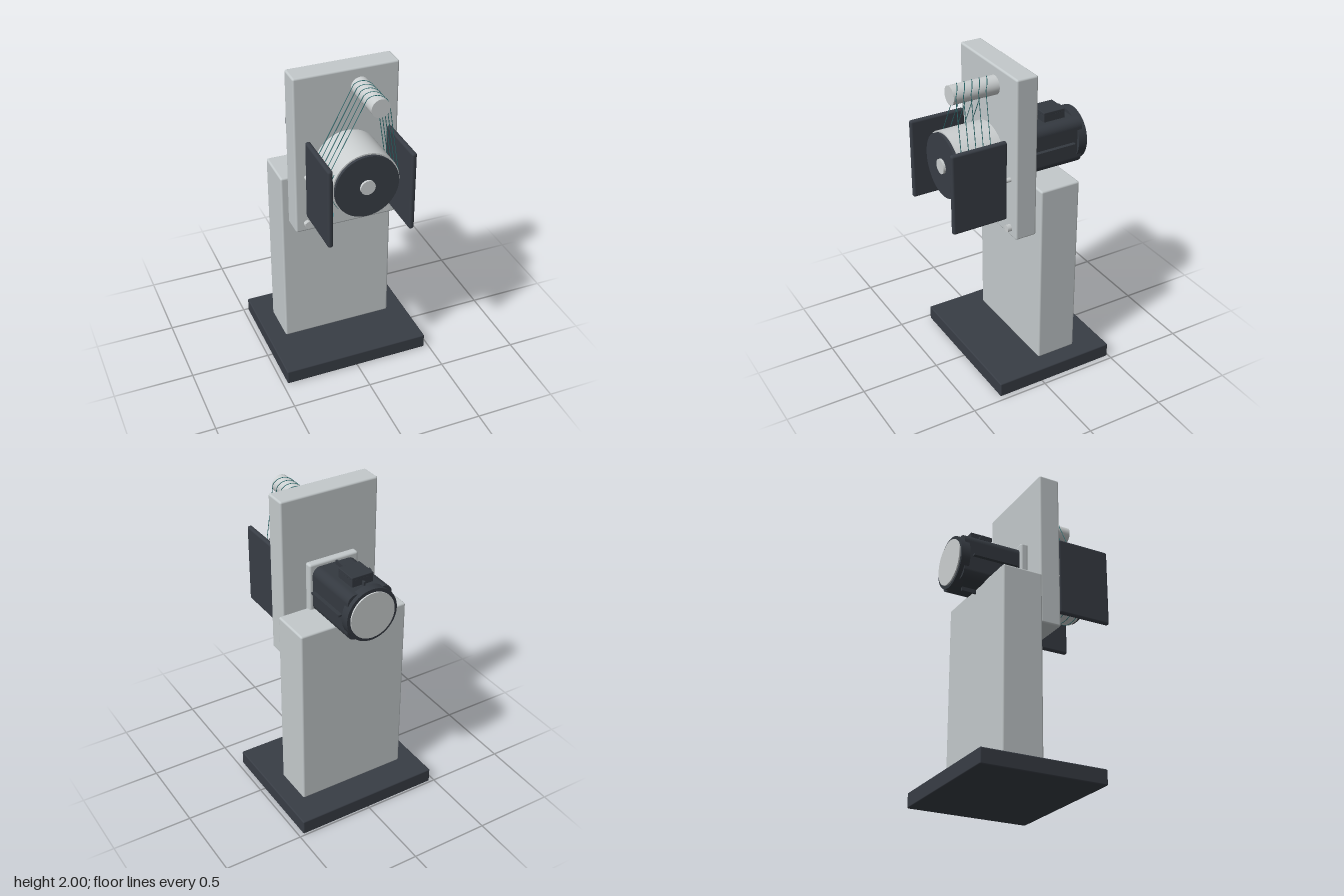
import * as THREE from 'three';
import { RoundedBoxGeometry } from 'three/addons/geometries/RoundedBoxGeometry.js';

const material = (name, color) => {
  const m = new THREE.MeshStandardMaterial({ color });
  m.name = name;
  return m;
};

export function createModel() {
  const model = new THREE.Group();
  model.name = 'windingMachine';
  const paint = material('light grey paint', 0xc3c9cb);
  const steel = material('pale steel', 0xcbcfd0);
  const dark = material('dark grey', 0x383d45);
  const motorDark = material('motor charcoal', 0x343940);
  const teal = material('teal thread', 0x2c6b6d);
  const cyan = material('cyan button', 0x7fc4cc);

  const add = (name, geometry, mat, parent = model) => {
    const mesh = new THREE.Mesh(geometry, mat);
    mesh.name = name;
    parent.add(mesh);
    return mesh;
  };
  // Rounded box given by its extents on each axis
  const box = (name, [x0, x1], [y0, y1], [z0, z1], r, mat, parent) => {
    const g = new RoundedBoxGeometry(x1 - x0, y1 - y0, z1 - z0, 3, r);
    g.translate((x0 + x1) / 2, (y0 + y1) / 2, (z0 + z1) / 2);
    return add(name, g, mat, parent);
  };
  // Cylinder lying along z
  const rod = (name, x, y, r, [z0, z1], mat, parent, sides = 48) => {
    const g = new THREE.CylinderGeometry(r, r, z1 - z0, sides);
    g.rotateX(Math.PI / 2).translate(x, y, (z0 + z1) / 2);
    return add(name, g, mat, parent);
  };

  // Stand
  box('base', [-0.47, 0.47], [0, 0.095], [-0.49, 0.3], 0.008, dark);
  box('column', [-0.357, 0.357], [0.09, 1.285], [-0.3, -0.04], 0.012, paint);
  box('facePlate', [-0.32, 0.32], [0.985, 2], [-0.03, 0.107], 0.012, paint);

  // Rollers
  const drum = { x: 0, y: 1.415, r: 0.204 };
  const guide = { x: 0.08, y: 1.885, r: 0.056 };
  rod('drum', drum.x, drum.y, drum.r, [0.1, 0.393], steel, model, 72);
  rod('drumCap', drum.x, drum.y, 0.195, [0.39, 0.411], dark, model, 72);
  rod('drumHub', drum.x, drum.y, 0.045, [0.4, 0.425], steel);
  rod('guideRoller', guide.x, guide.y, guide.r, [0.1, 0.395], steel);

  // Thread wound around both rollers, following their outer tangents
  const dx = guide.x - drum.x, dy = guide.y - drum.y;
  const axis = Math.atan2(dy, dx);
  const spread = Math.acos((drum.r - guide.r) / Math.hypot(dx, dy));
  const right = axis - spread, left = axis + spread;
  const points = [];
  const arc = (c, a0, a1, z0, z1, steps) => {
    for (let i = 0; i <= steps; i++) {
      const a = THREE.MathUtils.lerp(a0, a1, i / steps), r = c.r + 0.001;
      points.push(new THREE.Vector3(c.x + r * Math.cos(a), c.y + r * Math.sin(a), THREE.MathUtils.lerp(z0, z1, i / steps)));
    }
  };
  points.push(new THREE.Vector3(drum.x + drum.r * Math.cos(left), drum.y + drum.r * Math.sin(left), 0.13));
  for (let loop = 0; loop < 5; loop++) {
    const z = 0.13 + loop * 0.047;
    arc(guide, left, right, z, z + 0.066, 14);
    arc(drum, right, left - Math.PI * 2, z + 0.066, z + 0.047, 30);
  }
  const path = new THREE.CurvePath();
  for (let i = 1; i < points.length; i++) path.add(new THREE.LineCurve3(points[i - 1], points[i]));
  add('thread', new THREE.TubeGeometry(path, 900, 0.0022, 6), teal);

  // Side guards with their hexagonal bolts
  for (const side of [-1, 1]) {
    const x = side * 0.25;
    const name = side > 0 ? 'left' : 'right';
    box(name + 'Guard', [x - 0.016, x + 0.016], [1.11, 1.615], [0.133, 0.487], 0.014, dark);
    rod(name + 'Bolt', x, 1.04, 0.025, [0.1, 0.133], steel, model, 6).geometry.computeBoundingBox();
    rod(name + 'GuardMount', x, 1.36, 0.014, [0.1, 0.14], steel, model, 16);
  }

  // Controls
  rod('button', -0.115, 1.07, 0.029, [0.1, 0.125], cyan, model, 32);
  rod('knob', 0.112, 1.07, 0.038, [0.1, 0.135], paint, model, 32);

  // Motor behind the face plate
  const motor = new THREE.Group();
  motor.name = 'motor';
  model.add(motor);
  const cy = 1.415;
  box('motorFlange', [-0.165, 0.165], [cy - 0.168, cy + 0.168], [-0.076, -0.025], 0.014, paint, motor);

  // Housing with rounded corners
  const h = 0.145, c = 0.05;
  const outline = new THREE.Shape();
  outline.moveTo(h, -h + c);
  outline.absarc(h - c, h - c, c, 0, Math.PI / 2);
  outline.absarc(-h + c, h - c, c, Math.PI / 2, Math.PI);
  outline.absarc(-h + c, -h + c, c, Math.PI, Math.PI * 1.5);
  outline.absarc(h - c, -h + c, c, Math.PI * 1.5, Math.PI * 2);
  const housing = new THREE.ExtrudeGeometry(outline, { depth: 0.38, bevelEnabled: false, curveSegments: 10 });
  housing.translate(0, cy, -0.45);
  add('motorHousing', housing, motorDark, motor);

  // Cooling ribs on all four sides
  for (let i = 0; i < 4; i++) {
    const rib = add('motorRib', new THREE.BoxGeometry(0.05, 0.012, 0.295), motorDark, motor);
    const a = i * Math.PI / 2;
    rib.position.set(0.145 * Math.cos(a), cy + 0.145 * Math.sin(a), -0.2475);
    rib.rotation.z = a;
  }
  rod('motorEndRing', 0, cy, 0.166, [-0.477, -0.42], motorDark, motor, 64);
  rod('motorEndDisc', 0, cy, 0.145, [-0.486, -0.47], steel, motor, 64);

  // Terminal box and cable gland
  box('terminalBox', [-0.071, 0.071], [1.545, 1.605], [-0.375, -0.23], 0.004, motorDark, motor);
  box('terminalLid', [-0.071, 0.071], [1.6, 1.62], [-0.375, -0.23], 0.004, motorDark, motor);
  const gland = add('cableGland', new THREE.CylinderGeometry(0.018, 0.018, 0.035, 20), motorDark, motor);
  gland.rotation.z = Math.PI / 2;
  gland.position.set(-0.078, 1.585, -0.305);

  return model;
}
